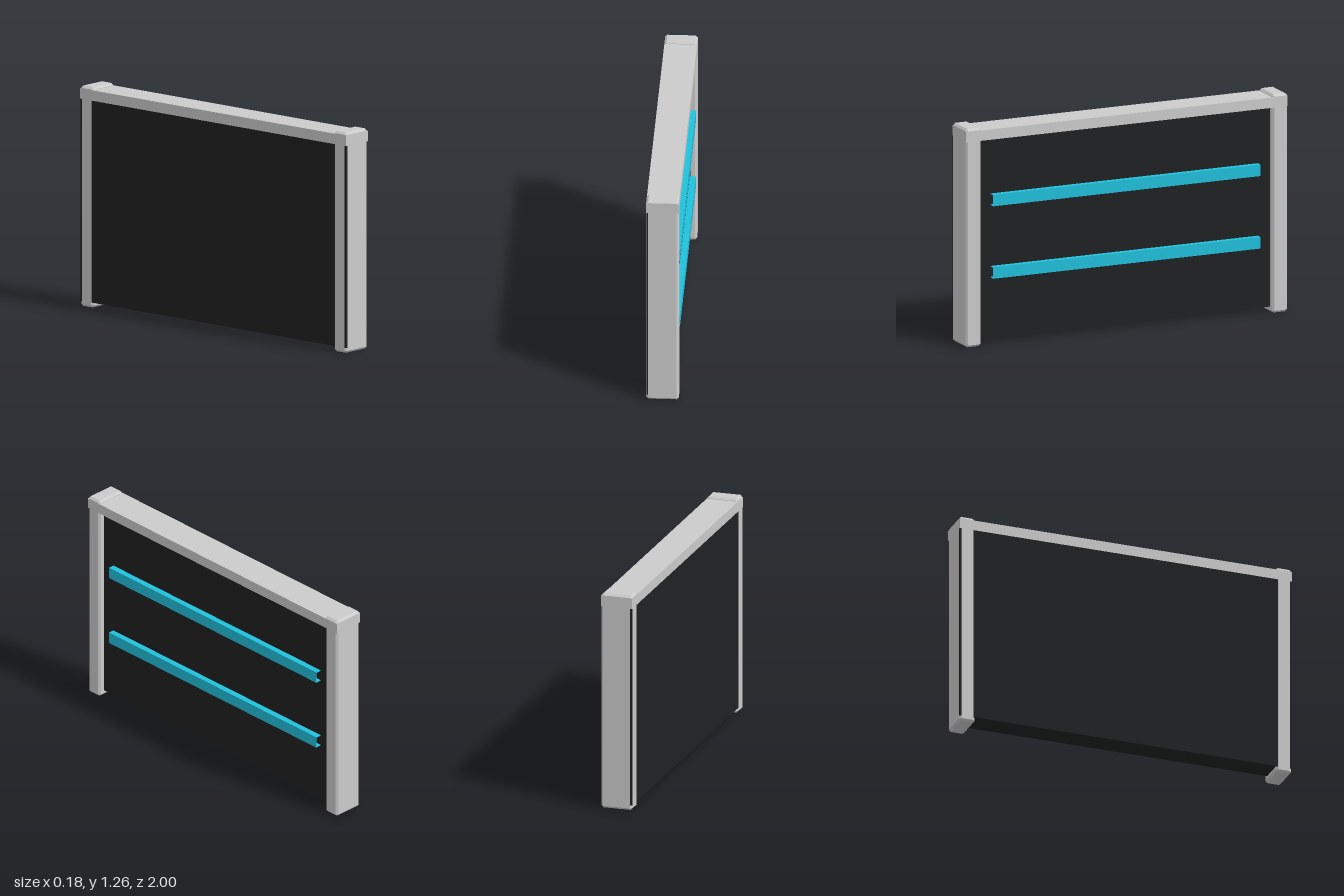
import * as THREE from 'three';
import { ConvexGeometry } from 'three/addons/geometries/ConvexGeometry.js';

const grey = new THREE.MeshStandardMaterial({ color: 0xcccccc });
const dark = new THREE.MeshStandardMaterial({ color: 0x202122 });
const cyan = new THREE.MeshStandardMaterial({ color: 0x20c0dc });

// Box given by its limits on each axis
function block(name, material, [x0, x1], [y0, y1], [z0, z1]) {
  const mesh = new THREE.Mesh(new THREE.BoxGeometry(x1 - x0, y1 - y0, z1 - z0), material);
  mesh.position.set((x0 + x1) / 2, (y0 + y1) / 2, (z0 + z1) / 2);
  mesh.name = name;
  return mesh;
}

// Box with every edge cut at 45 degrees
function chamferedBox(w, h, d, c) {
  const points = [];
  for (const sx of [-1, 1]) for (const sy of [-1, 1]) for (const sz of [-1, 1]) {
    const [x, y, z] = [w / 2, h / 2, d / 2];
    points.push(
      new THREE.Vector3(sx * x, sy * (y - c), sz * (z - c)),
      new THREE.Vector3(sx * (x - c), sy * y, sz * (z - c)),
      new THREE.Vector3(sx * (x - c), sy * (y - c), sz * z));
  }
  return new ConvexGeometry(points);
}

// Thin channel, open at its ends and towards the panel
function rail(name, y0, y1) {
  const group = new THREE.Group();
  group.name = name;
  const t = 0.004, back = 0.055, front = 0.09, z = [-0.832, 0.832];
  group.add(
    block('railWeb', cyan, [front - t, front], [y0, y1], z),
    block('railLowerFlange', cyan, [back, front - t], [y0, y0 + t], z),
    block('railUpperFlange', cyan, [back, front - t], [y1 - t, y1], z));
  return group;
}

export function createModel() {
  const model = new THREE.Group();
  model.name = 'panelFrame';

  // End posts, rising slightly above the top beam
  const height = 1.265, depth = 0.094;
  for (const side of [-1, 1]) {
    const post = new THREE.Mesh(chamferedBox(0.184, height, depth, 0.012), grey);
    post.name = side > 0 ? 'frontPost' : 'backPost';
    post.position.set(0, height / 2, side * (1 - depth / 2));
    model.add(post);
  }

  // Top beam and the panel, whose rear corners show past the post chamfers
  model.add(
    block('topBeam', grey, [-0.092, 0.092], [1.19, 1.25], [-1, 1]),
    block('panel', dark, [-0.091, 0.055], [0.03, 1.19], [-0.999, 0.999]));

  // Two rails on the recessed face
  model.add(rail('lowerRail', 0.382, 0.449), rail('upperRail', 0.802, 0.869));
  return model;
}
